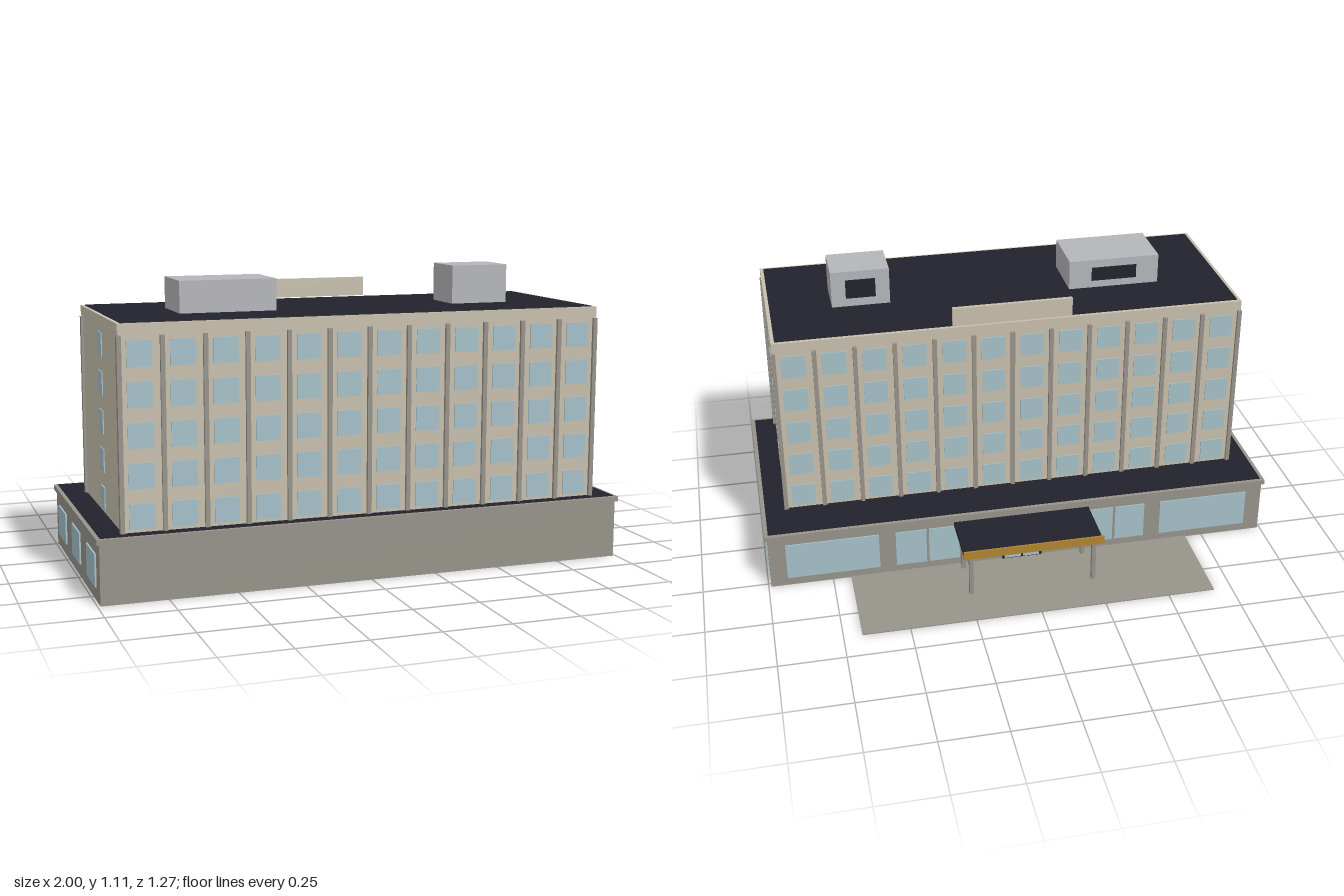
import * as THREE from 'three';

const mat = (name, color) => {
  const m = new THREE.MeshStandardMaterial({ color });
  m.name = name;
  return m;
};

export function createModel() {
  const beige = mat('beige wall', 0xc7bfac);
  const stone = mat('grey stone', 0x97938a);
  const glass = mat('pale blue glass', 0xa5c0c9);
  const dark = mat('dark roofing', 0x22222c);
  const metal = mat('light metal', 0xb4b5b9);
  const gold = mat('gold trim', 0xb08530);

  const model = new THREE.Group();
  const group = (name) => {
    const g = new THREE.Group();
    g.name = name;
    model.add(g);
    return g;
  };
  // Box given by its minimum and maximum along each axis
  const box = (parent, name, material, x0, x1, y0, y1, z0, z1) => {
    const mesh = new THREE.Mesh(new THREE.BoxGeometry(x1 - x0, y1 - y0, z1 - z0), material);
    mesh.position.set((x0 + x1) / 2, (y0 + y1) / 2, (z0 + z1) / 2);
    mesh.name = name;
    parent.add(mesh);
  };

  // Podium with a projecting cornice and dark roof
  const podium = group('podium');
  box(podium, 'podiumWalls', stone, -0.99, 0.99, 0, 0.22, -0.27, 0.625);
  box(podium, 'podiumCornice', stone, -1, 1, 0.215, 0.234, -0.278, 0.633);
  box(podium, 'podiumRoof', dark, -0.985, 0.985, 0.23, 0.237, -0.263, 0.618);

  // Podium side windows
  for (const s of [-1, 1]) {
    for (const z of [-0.12, 0.18, 0.482]) {
      box(podium, 'podiumSideWindow', glass, s * 0.992 - 0.004, s * 0.992 + 0.004, 0.05, 0.168, z - 0.08, z + 0.08);
    }
  }

  // Shop windows and glazed entrance along the back
  const entrance = group('entrance');
  const pane = (name, a, b, y0, y1, z) => {
    box(entrance, name, glass, a, b, y0, y1, z, z + 0.008);
    box(entrance, name, glass, -b, -a, y0, y1, z, z + 0.008);
  };
  pane('shopWindow', 0.565, 0.925, 0.035, 0.185, -0.275);
  for (const x of [0.12, 0.25, 0.38]) pane('lobbyWindow', x, x + 0.12, 0.035, 0.185, -0.275);
  box(entrance, 'doorFrame', dark, -0.08, 0.08, 0, 0.175, -0.276, -0.268);
  pane('doorLeaf', 0.004, 0.07, 0.008, 0.165, -0.279);

  // Tower block with parapet band and flat roof
  const tower = group('tower');
  box(tower, 'towerWalls', beige, -0.9, 0.9, 0.23, 0.93, -0.092, 0.583);
  box(tower, 'parapet', beige, -0.906, 0.906, 0.92, 0.958, -0.098, 0.589);
  box(tower, 'towerRoof', dark, -0.892, 0.892, 0.95, 0.961, -0.084, 0.575);

  // Window grid and pilasters on both long faces
  const bay = 0.151;
  for (const z of [-0.092, 0.583]) {
    for (let i = 0; i <= 12; i++) {
      const x = (i - 6) * bay * 0.995;
      box(tower, 'pilaster', stone, x - 0.008, x + 0.008, 0.234, 0.916, z - 0.011, z + 0.011);
    }
    for (let i = 0; i < 12; i++) {
      const x = (i - 5.5) * bay;
      for (let row = 0; row < 5; row++) {
        const y = 0.248 + row * 0.1405;
        box(tower, 'towerWindow', glass, x - 0.045, x + 0.045, y, y + 0.09, z - 0.004, z + 0.004);
      }
    }
  }

  // One column of windows on each end wall
  for (const x of [-0.9, 0.9]) {
    for (let row = 0; row < 5; row++) {
      const y = 0.248 + row * 0.1405;
      box(tower, 'endWindow', glass, x - 0.004, x + 0.004, y, y + 0.085, 0.212, 0.284);
    }
  }

  // Rooftop plant with dark vents facing the back, and a blank panel
  const rooftop = group('rooftop');
  box(rooftop, 'largePlantUnit', metal, -0.635, -0.275, 0.955, 1.077, 0.135, 0.36);
  box(rooftop, 'largeVent', dark, -0.545, -0.365, 0.99, 1.045, 0.132, 0.138);
  box(rooftop, 'smallPlantUnit', metal, 0.43, 0.655, 0.955, 1.105, 0.16, 0.336);
  box(rooftop, 'smallVent', dark, 0.485, 0.6, 0.995, 1.07, 0.156, 0.163);
  box(rooftop, 'roofPanel', beige, -0.23, 0.23, 0.964, 1.037, -0.1, -0.086);

  // Entrance canopy, columns and forecourt
  const canopy = group('canopy');
  box(canopy, 'canopyRoof', dark, -0.27, 0.27, 0.185, 0.201, -0.498, -0.27);
  box(canopy, 'canopyFascia', gold, -0.273, 0.273, 0.185, 0.218, -0.504, -0.497);
  for (const x of [-0.24, 0.24]) {
    for (const z of [-0.3, -0.472]) {
      box(canopy, 'canopyColumn', stone, x - 0.008, x + 0.008, 0, 0.187, z - 0.008, z + 0.008);
    }
  }
  box(model, 'forecourt', stone, -0.68, 0.68, 0, 0.004, -0.637, -0.26);

  return model;
}
